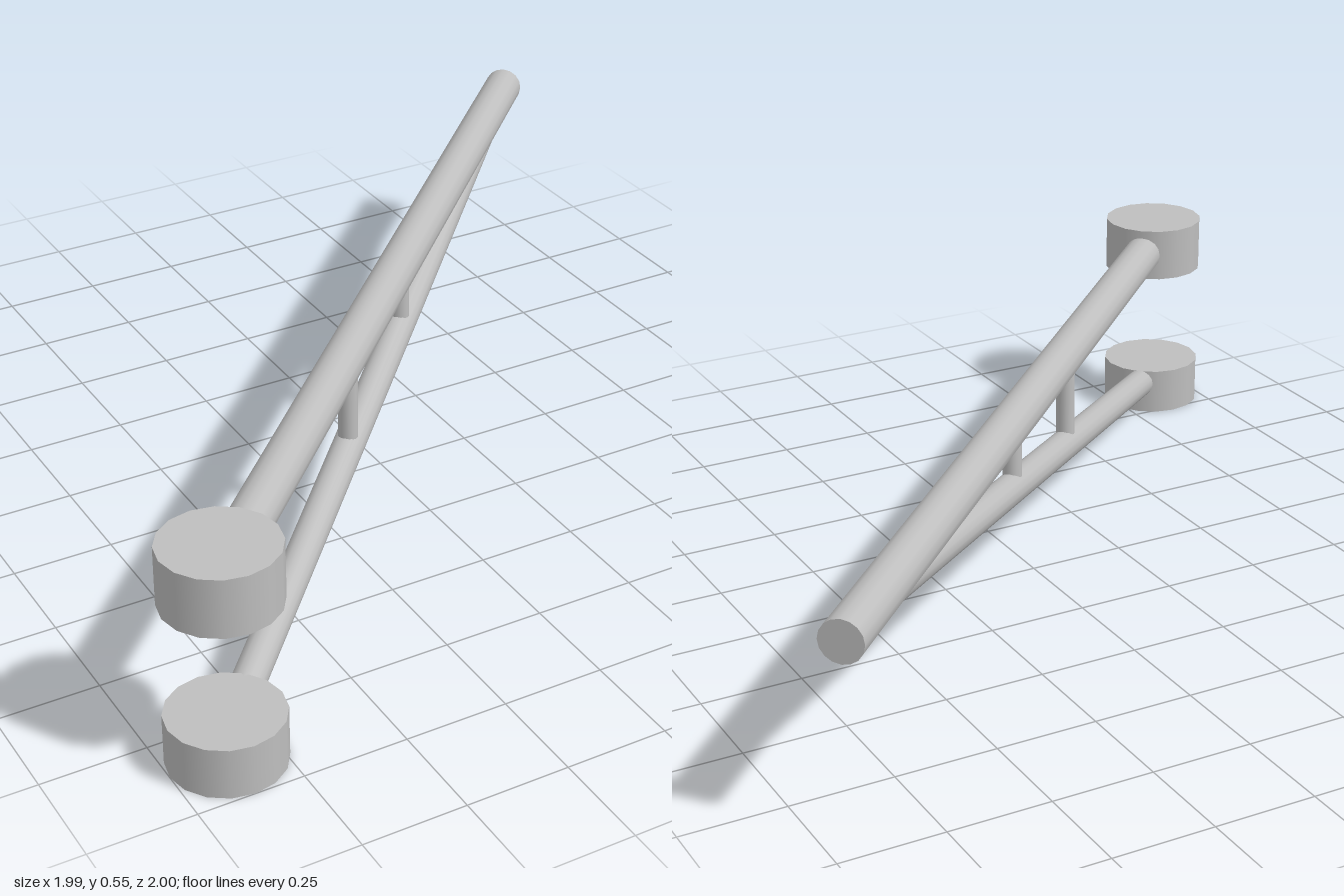
import * as THREE from 'three';

export function createModel() {
  const group = new THREE.Group();
  const steel = new THREE.MeshStandardMaterial({ color: 0xbebebe });
  steel.name = 'grey steel';

  // Round bar between two points
  function bar(name, from, to, radius, sides = 16) {
    const a = new THREE.Vector3(...from), b = new THREE.Vector3(...to);
    const dir = b.clone().sub(a);
    const mesh = new THREE.Mesh(
      new THREE.CylinderGeometry(radius, radius, dir.length(), sides), steel);
    mesh.position.copy(a).add(b).multiplyScalar(0.5);
    mesh.quaternion.setFromUnitVectors(new THREE.Vector3(0, 1, 0), dir.normalize());
    mesh.name = name;
    group.add(mesh);
  }

  // Hinge collars, stacked on one vertical axis
  const hx = -0.865, hz = 0.865;
  bar('lowerCollar', [hx, 0, hz], [hx, 0.125, hz], 0.135);
  bar('upperCollar', [hx, 0.41, hz], [hx, 0.552, hz], 0.135);

  // Level arm and the sloping brace that runs into it
  bar('mainArm', [hx, 0.48, hz], [0.957, 0.48, -0.962], 0.051);
  bar('brace', [hx, 0.064, hz], [0.82, 0.474, -0.822], 0.039);

  // Upright struts between brace and arm
  for (const [x, y] of [[-0.205, 0.225], [0.13, 0.307]]) {
    bar('strut', [x, y, -x], [x, 0.48, -x], 0.024);
  }
  return group;
}
